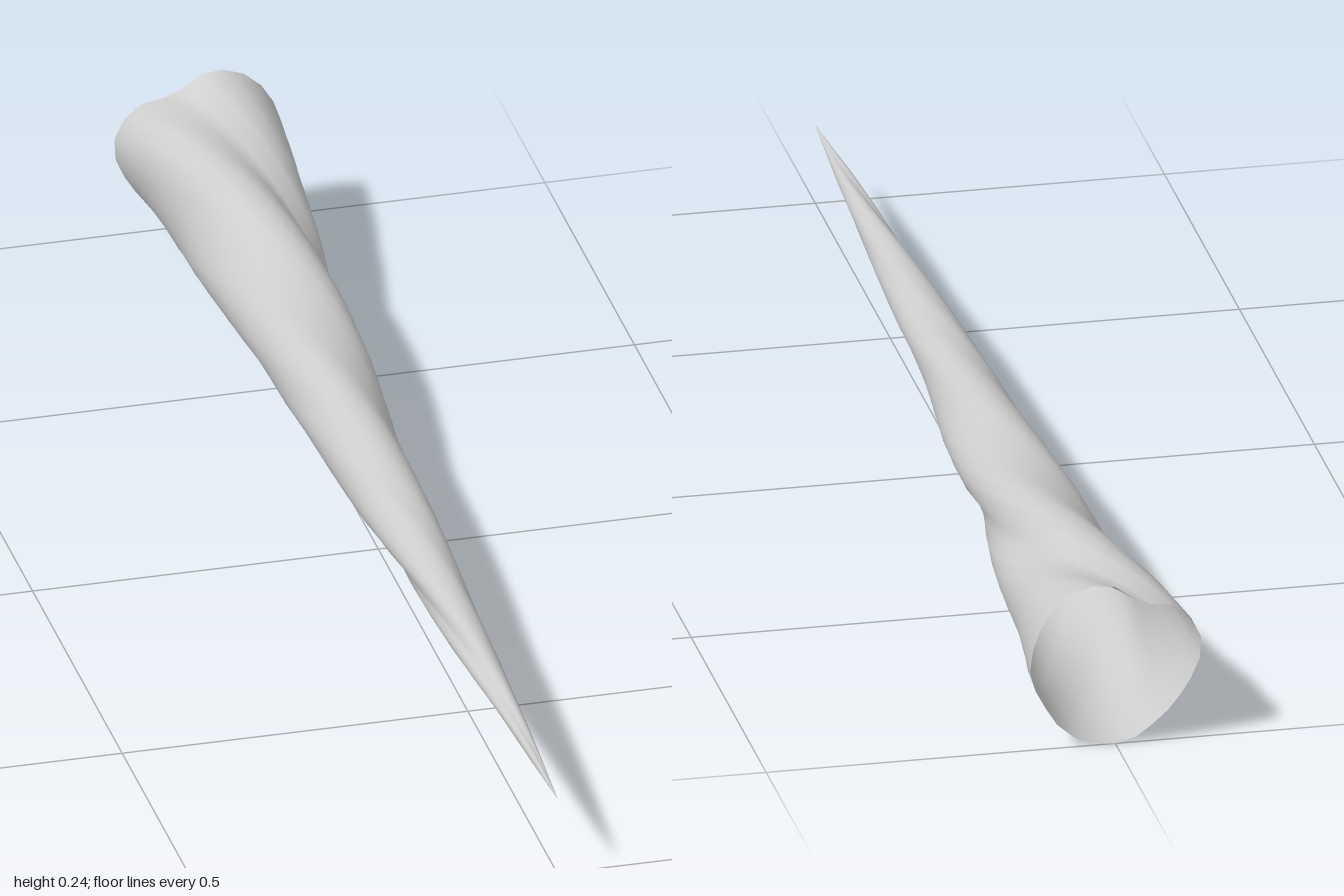
import * as THREE from 'three';
import { mergeVertices } from 'three/addons/utils/BufferGeometryUtils.js';

// Radius of the lobed cross-section at the base, every 15 degrees from +x.
const SECTION = [
  0.122, 0.122, 0.124, 0.127, 0.129, 0.127, 0.118, 0.102,
  0.102, 0.118, 0.125, 0.127, 0.121, 0.112, 0.107, 0.106,
  0.108, 0.115, 0.119, 0.120, 0.120, 0.118, 0.115, 0.118,
];
// Overall radius at equal steps from tip to base.
const TAPER = [0.0003, 0.012, 0.022, 0.031, 0.041, 0.05, 0.06, 0.071, 0.082, 0.096, 0.12];
const TWIST = THREE.MathUtils.degToRad(210); // per unit of length
const CENTRE_Y = 0.119;

function taperAt(z) {
  const s = ((1 - z) / 2) * (TAPER.length - 1);
  const i = Math.min(Math.floor(s), TAPER.length - 2);
  return THREE.MathUtils.lerp(TAPER[i], TAPER[i + 1], s - i);
}

export function createModel() {
  const group = new THREE.Group();
  group.name = 'twistedHorn';

  // Open tube along z, tip at +z, welded so the seam shades smoothly
  let geometry = new THREE.CylinderGeometry(1, 1, 2, SECTION.length, 60, true);
  geometry.rotateX(Math.PI / 2);
  geometry.deleteAttribute('uv');
  geometry.deleteAttribute('normal');
  geometry = mergeVertices(geometry, 1e-4);

  // Taper and twist each ring of the lobed section
  const pos = geometry.attributes.position;
  const n = SECTION.length;
  for (let i = 0; i < pos.count; i++) {
    const z = pos.getZ(i);
    const angle = Math.atan2(pos.getY(i), pos.getX(i));
    const k = (Math.round((angle / (2 * Math.PI)) * n) + n) % n;
    const r = (SECTION[k] / 0.12) * taperAt(z);
    const a = angle - TWIST * (z + 1);
    pos.setXYZ(i, r * Math.cos(a), CENTRE_Y + r * Math.sin(a), z);
  }
  geometry.computeVertexNormals();

  const horn = new THREE.Mesh(
    geometry,
    new THREE.MeshStandardMaterial({ color: 0xcccccc, side: THREE.DoubleSide })
  );
  horn.name = 'horn';
  group.add(horn);
  return group;
}
